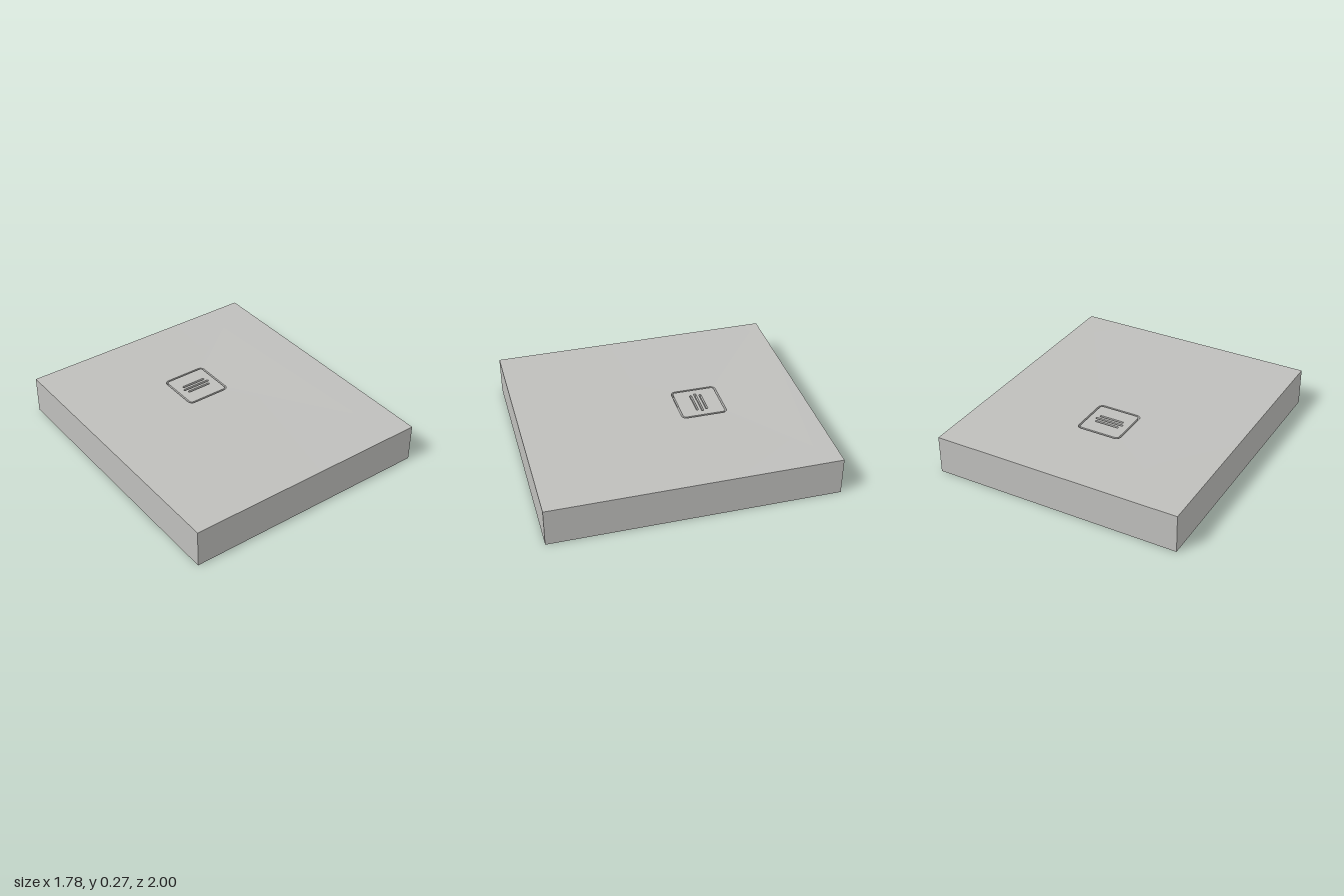
import * as THREE from 'three';
import { toCreasedNormals } from 'three/addons/utils/BufferGeometryUtils.js';

const W = 1.78, D = 2, H = 0.27; // tray size
const DRAIN_Z = -0.27;

// Points around a rounded rectangle; every loop has the same count
function loop([w, d, r, y, cz = 0], n = 8) {
  const pts = [];
  const signs = [[1, 1], [-1, 1], [-1, -1], [1, -1]];
  signs.forEach(([sx, sz], k) => {
    for (let i = 0; i <= n; i++) {
      const a = (k + i / n) * Math.PI / 2;
      pts.push(new THREE.Vector3(
        sx * (w / 2 - r) + r * Math.cos(a), y,
        cz + sz * (d / 2 - r) + r * Math.sin(a)));
    }
  });
  return pts;
}

// Skin a list of loops, leaving out collapsed triangles
function loft(sections) {
  const loops = sections.map((s) => loop(s));
  const pos = [];
  const tri = new THREE.Triangle();
  const add = (a, b, c) => {
    if (tri.set(a, b, c).getArea() > 1e-8) {
      for (const p of [a, b, c]) pos.push(p.x, p.y, p.z);
    }
  };
  for (let i = 0; i < loops.length - 1; i++) {
    const p = loops[i], q = loops[i + 1];
    for (let j = 0; j < p.length; j++) {
      const k = (j + 1) % p.length;
      add(p[j], p[k], q[k]);
      add(p[j], q[k], q[j]);
    }
  }
  const geo = new THREE.BufferGeometry();
  geo.setAttribute('position', new THREE.Float32BufferAttribute(pos, 3));
  return toCreasedNormals(geo, 0.5);
}

// Horizontal plate with rounded corners and optional slots
function outline(w, d, r, path, cy = 0) {
  const x = w / 2 - r, y = d / 2 - r;
  path.absarc(x, cy + y, r, 0, Math.PI / 2);
  path.absarc(-x, cy + y, r, Math.PI / 2, Math.PI);
  path.absarc(-x, cy - y, r, Math.PI, Math.PI * 1.5);
  path.absarc(x, cy - y, r, Math.PI * 1.5, Math.PI * 2);
  path.closePath();
  return path;
}

export function createModel() {
  const group = new THREE.Group();
  const grey = new THREE.MeshStandardMaterial({ color: 0xbfbfbc });
  grey.name = 'stoneGrey';

  const t = 0.03; // shell thickness
  const drainTop = H - 0.008;

  // Hollow tray: drain well, sloping top, outer walls, underside lip, cavity, well bottom
  const tray = new THREE.Mesh(loft([
    [0, 0, 0, 0.22, DRAIN_Z],
    [0.325, 0.325, 0.035, 0.22, DRAIN_Z],
    [0.325, 0.325, 0.035, drainTop, DRAIN_Z],
    [W, D, 0, H],
    [W, D, 0, 0],
    [W - 0.22, D - 0.25, 0.08, 0],
    [W - 0.22, D - 0.25, 0.08, 0.01],
    [W - 2 * t, D - 2 * t, 0, 0.01],
    [W - 2 * t, D - 2 * t, 0, H - t],
    [0.35, 0.35, 0.05, H - t - 0.002, DRAIN_Z],
    [0.35, 0.35, 0.05, 0.19, DRAIN_Z],
    [0, 0, 0, 0.19, DRAIN_Z],
  ]), grey);
  tray.name = 'tray';
  group.add(tray);

  // Drain cover with three slots, the middle one longer
  const shape = outline(0.3, 0.3, 0.02, new THREE.Shape());
  for (const [len, y] of [[0.18, 0.034], [0.21, 0], [0.18, -0.034]]) {
    shape.holes.push(outline(len, 0.016, 0.0079, new THREE.Path(), y));
  }
  const coverGeo = new THREE.ExtrudeGeometry(shape, { depth: 0.03, bevelEnabled: false, curveSegments: 8 });
  coverGeo.rotateX(-Math.PI / 2);
  const cover = new THREE.Mesh(toCreasedNormals(coverGeo, 0.5), grey);
  cover.name = 'drainCover';
  cover.position.set(0, drainTop - 0.03, DRAIN_Z);
  group.add(cover);

  return group;
}
